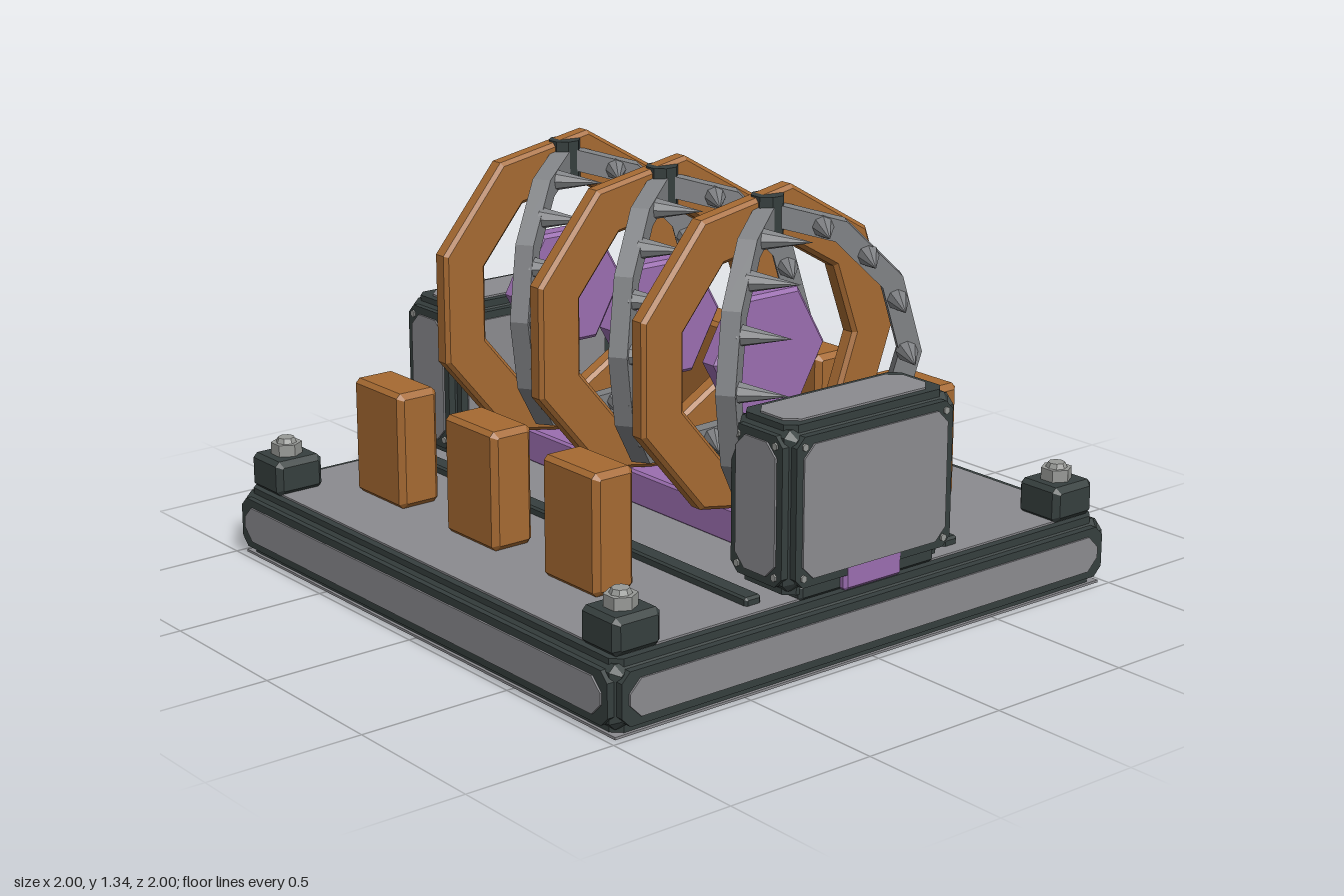
import * as THREE from 'three';

const mat = (name, color, flat = true) => {
  const m = new THREE.MeshStandardMaterial({ color, flatShading: flat });
  m.name = name;
  return m;
};

export function createModel() {
  const steel = mat('steel grey', 0x8b8b8f);
  const blade = mat('blade grey', 0x818386);
  const bolt = mat('bolt grey', 0x989a97);
  const frame = mat('dark frame', 0x363f3e);
  const copper = mat('copper orange', 0xa66a32);
  const violet = mat('violet', 0x9b6eb0);

  const model = new THREE.Group();
  model.name = 'spikedRingMachine';

  const add = (parent, name, geometry, material, x = 0, y = 0, z = 0) => {
    const mesh = new THREE.Mesh(geometry, material);
    mesh.name = name;
    mesh.position.set(x, y, z);
    parent.add(mesh);
    return mesh;
  };
  const group = (parent, name, x = 0, y = 0, z = 0) => {
    const g = new THREE.Group();
    g.name = name;
    g.position.set(x, y, z);
    parent.add(g);
    return g;
  };
  const polygon = (n, r) => Array.from({ length: n }, (_, i) =>
    new THREE.Vector2(r * Math.cos(i * 2 * Math.PI / n), r * Math.sin(i * 2 * Math.PI / n)));

  // Extrusion centred on z, with a chamfer that stays inside the outline
  const slab = (shape, depth, b = 0) => {
    const g = new THREE.ExtrudeGeometry(shape, {
      depth: depth - 2 * b, bevelEnabled: b > 0, bevelSize: b,
      bevelThickness: b, bevelOffset: -b, bevelSegments: 1,
    });
    g.translate(0, 0, b - depth / 2);
    return g;
  };
  // Rectangle with its four corners cut by c
  const cutRect = (w, h, c) => {
    const x = w / 2, y = h / 2;
    return new THREE.Shape([
      [x - c, -y], [x, c - y], [x, y - c], [x - c, y],
      [c - x, y], [-x, y - c], [-x, c - y], [c - x, -y],
    ].map(p => new THREE.Vector2(...p)));
  };
  const chamferBox = (w, h, d, b) => slab(cutRect(w, h, b * 0.8), d, b);

  // Dark chamfered block with a raised rim and a grey panel on each face
  const panelBlock = (parent, name, w, h, d, x, y, z, rivets) => {
    const g = group(parent, name, x, y, z);
    const cw = w - 0.04, ch = h - 0.04, cd = d - 0.04;
    add(g, 'core', chamferBox(cw, ch, cd, 0.025), frame);
    const faces = [
      [0, 0, cw, ch, cd], [0, Math.PI, cw, ch, cd],
      [0, Math.PI / 2, cd, ch, cw], [0, -Math.PI / 2, cd, ch, cw],
      [-Math.PI / 2, 0, cw, cd, ch], [Math.PI / 2, 0, cw, cd, ch],
    ];
    for (const [rx, ry, fw, fh, dist] of faces) {
      const f = group(g, 'face');
      f.rotation.set(rx, ry, 0);
      add(f, 'rim', slab(cutRect(fw - 0.03, fh - 0.03, 0.03), 0.024), frame, 0, 0, dist / 2 + 0.002);
      add(f, 'panel', slab(cutRect(fw - 0.08, fh - 0.08, 0.04), 0.008), steel, 0, 0, dist / 2 + 0.016);
      if (rivets && rx === 0) {
        for (const sx of [-1, 1]) for (const sy of [-1, 1]) {
          const r = add(f, 'rivet', new THREE.CylinderGeometry(0.012, 0.012, 0.008, 6), bolt,
            sx * (fw / 2 - 0.045), sy * (fh / 2 - 0.045), dist / 2 + 0.016);
          r.rotation.x = Math.PI / 2;
        }
      }
    }
    return g;
  };

  // Base platform
  const base = panelBlock(model, 'base', 2, 0.235, 2, 0, 0.1175, 0, false);
  add(base, 'underside', new THREE.BoxGeometry(1.95, 0.008, 1.95), steel, 0, -0.1135, 0);

  // Corner blocks with bolts
  for (const sx of [-1, 1]) for (const sz of [-1, 1]) {
    const c = group(model, 'cornerBlock', sx * 0.873, 0.23, sz * 0.873);
    add(c, 'block', chamferBox(0.17, 0.115, 0.17, 0.018), frame, 0, 0.057, 0);
    add(c, 'boltHead', new THREE.CylinderGeometry(0.05, 0.05, 0.04, 6), bolt, 0, 0.133, 0);
    add(c, 'boltTip', new THREE.CylinderGeometry(0.027, 0.035, 0.018, 8), bolt, 0, 0.16, 0);
  }

  // Rails and central bar
  for (const sx of [-1, 1]) {
    add(model, 'rail', chamferBox(0.06, 0.034, 1.78, 0.008), frame, sx * 0.397, 0.243, 0);
  }
  add(model, 'centralBar', chamferBox(0.23, 0.115, 1.946, 0.01), violet, 0, 0.288, 0);

  // Housings at both ends of the bar
  for (const s of [1, -1]) {
    const h = panelBlock(model, 'endHousing', 0.69, 0.53, 0.295, 0, 0.51, s * 0.83, true);
    add(h, 'foot', chamferBox(0.54, 0.05, 0.24, 0.01), frame, 0, -0.256, 0);
    add(h, 'innerLedge', chamferBox(0.46, 0.06, 0.06, 0.012), frame, 0, -0.085, -s * 0.15);
  }

  // Geometry shared by the three stations
  const ringShape = new THREE.Shape(polygon(9, 0.517));
  ringShape.holes.push(new THREE.Path(polygon(9, 0.35).reverse()));
  const ringGeo = slab(ringShape, 0.064, 0.012);
  const hexGeo = slab(new THREE.Shape(polygon(6, 0.22)), 0.075, 0.012);
  const arc = (r) => Array.from({ length: 7 }, (_, i) => {
    const a = (i - 3) * Math.PI / 6;
    return new THREE.Vector2(r * Math.cos(a), r * Math.sin(a));
  });
  const jawGeo = slab(new THREE.Shape([...arc(0.47), ...arc(0.4).reverse()]), 0.06);
  const spikeGeo = new THREE.ConeGeometry(0.035, 0.16, 8);
  const hingeGeo = new THREE.CylinderGeometry(0.052, 0.052, 0.13, 8);
  hingeGeo.rotateY(Math.PI / 8);
  const pillarGeo = chamferBox(0.148, 0.38, 0.265, 0.018);
  const jawAngle = 0.6;

  for (const z of [0.46, -0.04, -0.54]) {
    // Ring, hexagonal core and hinge
    const station = group(model, 'station', 0, 0.83, z);
    add(station, 'ring', ringGeo, copper);
    add(station, 'hexCore', hexGeo, violet, 0, 0, 0.007);
    add(station, 'hinge', hingeGeo, frame, 0, 0.425, 0.018);

    // Two half-round jaws folded forward, spikes on their inner faces
    for (const s of [1, -1]) {
      const jaw = group(station, 'jaw', 0, 0, 0.02);
      jaw.rotation.y = s > 0 ? -jawAngle : Math.PI + jawAngle;
      add(jaw, 'jawBand', jawGeo, blade);
      for (let i = -3; i <= 3; i++) {
        const a = i * Math.PI / 8;
        const spike = add(jaw, 'spike', spikeGeo, blade,
          0.425 * Math.cos(a), 0.425 * Math.sin(a), s * 0.1);
        spike.rotation.x = s * Math.PI / 2;
      }
      // Side pillars
      add(model, 'pillar', pillarGeo, copper, s * 0.655, 0.425, z - 0.018);
    }
  }
  return model;
}
